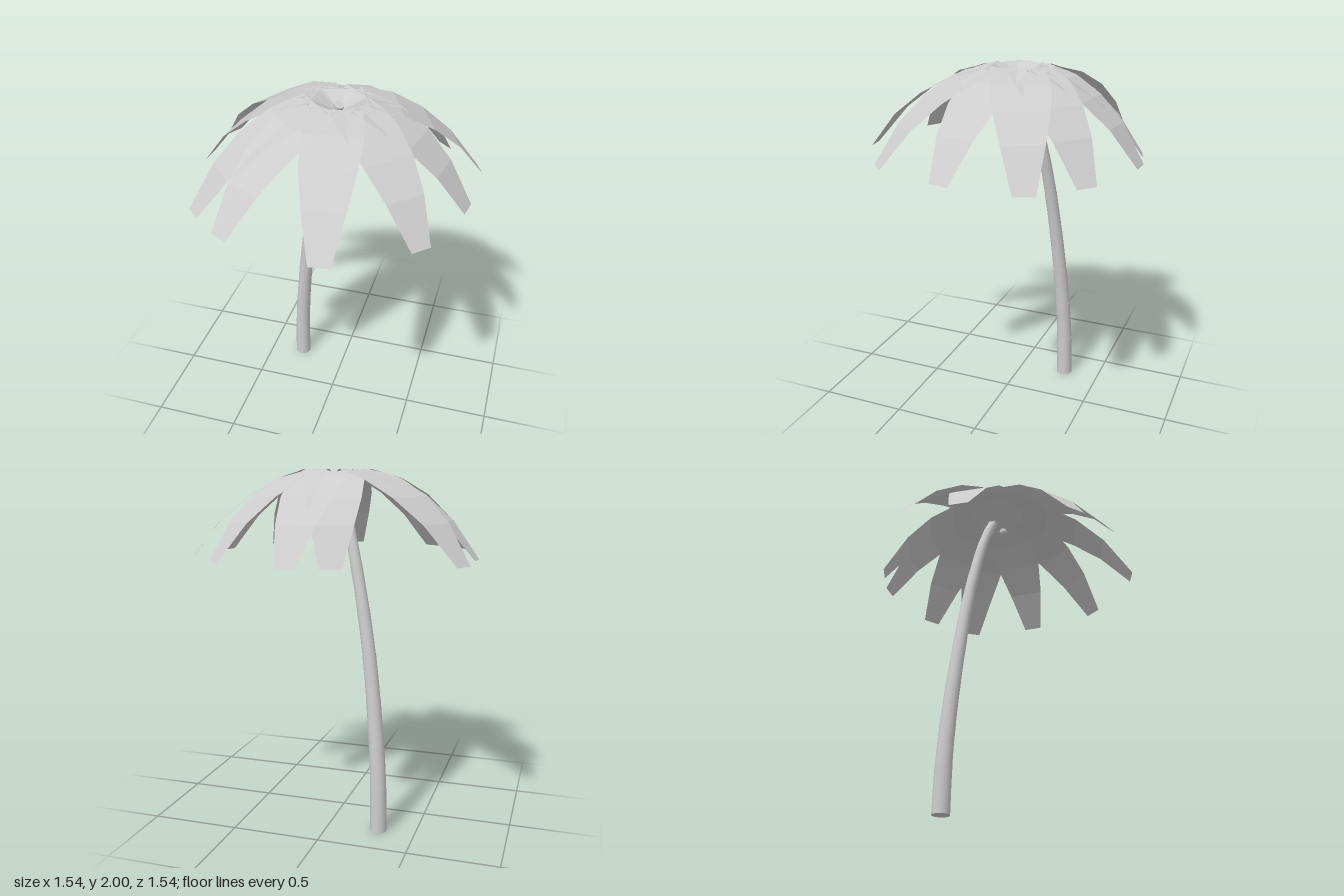
import * as THREE from 'three';

export function createModel() {
  const model = new THREE.Group();
  model.name = 'palmTree';
  const grey = new THREE.MeshStandardMaterial({ color: 0xcccccc, side: THREE.DoubleSide });
  grey.name = 'lightGrey';

  const add = (geometry, name, parent = model) => {
    const mesh = new THREE.Mesh(geometry, grey);
    mesh.name = name;
    parent.add(mesh);
    return mesh;
  };

  // Leaning trunk: tapered segments stacked along a curve
  const trunk = new THREE.Group();
  trunk.name = 'trunk';
  model.add(trunk);
  const path = new THREE.CatmullRomCurve3([
    [-0.292, 0, -0.281], [-0.285, 0.3, -0.275], [-0.262, 0.6, -0.258], [-0.215, 1.0, -0.225],
    [-0.143, 1.4, -0.185], [-0.045, 1.8, -0.122], [0.015, 1.96, -0.075],
  ].map((p) => new THREE.Vector3(...p)));
  const up = new THREE.Vector3(0, 1, 0);
  const segments = 16;
  const radius = (t) => 0.048 - 0.022 * t;
  for (let i = 0; i < segments; i++) {
    const a = path.getPointAt(i / segments);
    const b = path.getPointAt((i + 1) / segments);
    const dir = b.clone().sub(a);
    // every second joint has a faint ring
    const lip = i % 2 ? 0.001 : 0;
    const geometry = new THREE.CylinderGeometry(
      radius((i + 1) / segments) + lip, radius(i / segments), dir.length() + 0.004, 20);
    const part = add(geometry, 'trunkSegment', trunk);
    part.position.copy(a).add(b).multiplyScalar(0.5);
    part.quaternion.setFromUnitVectors(up, dir.normalize());
  }

  // Frond cross-sections: share of the reach, height, half width
  const sections = [
    [0, 1.925, 0.075], [0.17, 2.0, 0.135], [0.39, 1.95, 0.155],
    [0.6, 1.86, 0.142], [0.8, 1.73, 0.108], [1, 1.53, 0.055],
  ];
  const frond = (reach) => {
    const geometry = new THREE.PlaneGeometry(1, 1, 1, sections.length - 1);
    const pos = geometry.attributes.position;
    sections.forEach(([u, y, w], i) => {
      pos.setXYZ(i * 2, -w, y, u * reach);
      pos.setXYZ(i * 2 + 1, w, y, u * reach);
    });
    // the rows run outward, so reverse the winding where needed to face up
    const flat = geometry.toNonIndexed();
    flat.computeVertexNormals();
    if (flat.attributes.normal.getY(0) < 0) {
      const p = flat.attributes.position;
      for (let i = 0; i < p.count; i++) p.setX(i, -p.getX(i));
      flat.computeVertexNormals();
    }
    return flat;
  };

  // Crown of fronds, placed by the x and z of each tip
  const crown = new THREE.Group();
  crown.name = 'crown';
  crown.position.set(0.02, 0, -0.07);
  model.add(crown);
  const tips = [
    [-0.16, -0.73], [0.065, -0.77], [0.515, -0.617], [0.748, -0.387], [0.743, 0.055], [0.583, 0.488],
    [0.155, 0.756], [-0.39, 0.658], [-0.602, 0.49], [-0.77, -0.115], [-0.75, -0.447],
  ];
  for (const [x, z] of tips) {
    const dx = x - crown.position.x;
    const dz = z - crown.position.z;
    add(frond(Math.hypot(dx, dz)), 'frond', crown).rotation.y = Math.atan2(dx, dz);
  }

  // Small coconuts beneath the crown
  for (const [x, y, z] of [[0.06, 1.895, -0.03], [0.045, 1.89, -0.11]]) {
    add(new THREE.SphereGeometry(0.023, 16, 12), 'coconut').position.set(x, y, z);
  }

  return model;
}
